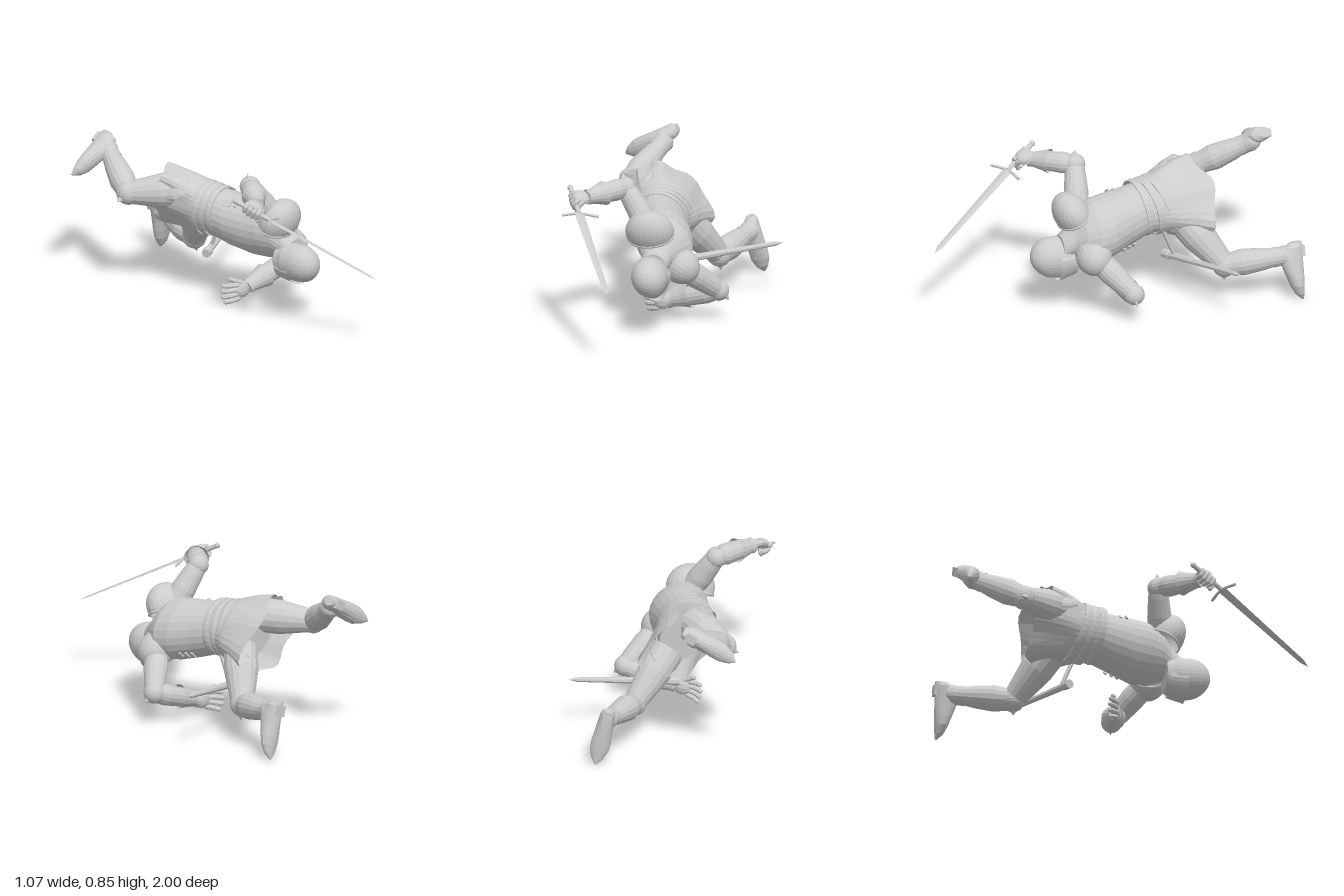
import * as THREE from 'three';

const V = (x, y, z) => new THREE.Vector3(x, y, z);
const solid = new THREE.MeshStandardMaterial({ color: 0xcccccc, flatShading: true });
const shell = new THREE.MeshStandardMaterial({ color: 0xcccccc, flatShading: true, side: THREE.DoubleSide });

export function createModel() {
  const root = new THREE.Group();
  root.name = 'fallenKnight';

  const add = (name, geo, mat = solid, parent = root) => {
    const m = new THREE.Mesh(geo, mat);
    m.name = name;
    parent.add(m);
    return m;
  };
  // Frame at a point: Y along dir, X as near the hint as possible
  const frame = (at, dir, hint = V(0.31, 0.2, 0.93)) => {
    const y = dir.clone().normalize();
    const x = hint.clone().addScaledVector(y, -hint.dot(y)).normalize();
    return new THREE.Matrix4().makeBasis(x, y, x.clone().cross(y)).setPosition(at);
  };
  const place = (name, geo, at, dir, hint, mat) => add(name, geo.applyMatrix4(frame(at, dir, hint)), mat);
  // Turned limb piece from a to b; profile rows are [fraction, radius]
  const limb = (name, a, b, profile, mat, sides = 16) => {
    const d = b.clone().sub(a), len = d.length();
    const pts = profile.map(([t, r]) => new THREE.Vector2(r, t * len));
    return place(name, new THREE.LatheGeometry(pts, sides), a, d, undefined, mat);
  };
  const ball = (name, at, r) => place(name, new THREE.SphereGeometry(r, 16, 12), at, V(0, 1, 0));
  // Skin over elliptical sections [centre, halfU, halfV]; shape(angle, row) bends each ring
  const loft = (name, rows, u, v, { n = 24, shape = () => [1, 0], mat = solid, caps = true } = {}) => {
    const pos = [], idx = [], axis = u.clone().cross(v);
    rows.forEach(([c, w, d], k) => {
      for (let j = 0; j < n; j++) {
        const q = (j / n) * Math.PI * 2, [s, lift] = shape(q, k);
        const p = c.clone().addScaledVector(u, w * s * Math.cos(q))
          .addScaledVector(v, d * s * Math.sin(q)).addScaledVector(axis, lift);
        pos.push(p.x, p.y, p.z);
        if (k) {
          const a = (k - 1) * n + j, b = (k - 1) * n + (j + 1) % n;
          idx.push(a, b, a + n, b, b + n, a + n);
        }
      }
    });
    if (caps) {
      const first = rows[0][0], last = rows[rows.length - 1][0], i = rows.length * n;
      pos.push(first.x, first.y, first.z, last.x, last.y, last.z);
      for (let j = 0; j < n; j++) {
        const e = (rows.length - 1) * n;
        idx.push(i, (j + 1) % n, j, i + 1, e + j, e + (j + 1) % n);
      }
    }
    const g = new THREE.BufferGeometry();
    g.setAttribute('position', new THREE.Float32BufferAttribute(pos, 3));
    g.setIndex(idx);
    g.computeVertexNormals();
    return add(name, g, mat);
  };

  // Rolled body axes: u to the knight's right, f out of the chest
  const u = V(-0.66, 0.75, 0).normalize(), f = V(0, 0, 1).cross(u);

  // Breastplate, neck and hips
  loft('torso', [
    [V(-0.09, 0.54, -0.45), 0.15, 0.11], [V(-0.09, 0.53, -0.32), 0.165, 0.13],
    [V(-0.09, 0.51, -0.2), 0.15, 0.13], [V(-0.07, 0.485, -0.08), 0.162, 0.145],
    [V(-0.04, 0.468, 0.04), 0.178, 0.155], [V(-0.025, 0.46, 0.13), 0.18, 0.145],
    [V(-0.03, 0.45, 0.2), 0.14, 0.115], [V(-0.04, 0.42, 0.25), 0.085, 0.085],
    [V(-0.05, 0.38, 0.31), 0.07, 0.07]], u, f);
  // Waist bands and belts, sloping to the left hip
  [[-0.18, 0.157, 0.136, -0.12], [-0.235, 0.163, 0.14, -0.2], [-0.29, 0.174, 0.143, -0.28]].forEach(([z, w, d, tilt]) => {
    const g = new THREE.TorusGeometry(1, 0.05, 6, 32).scale(w, d, 0.5).rotateY(tilt);
    g.applyMatrix4(new THREE.Matrix4().makeBasis(u, f, V(0, 0, 1)).setPosition(-0.09, 0.515, z));
    add('belt', g);
  });
  // Small buckled straps on both flanks
  for (const side of [1, -1])
    for (let i = 0; i < 3; i++)
      place('sideBuckle', new THREE.BoxGeometry(0.012, 0.01, 0.04),
        V(-0.065 + 0.008 * i, 0.483, -0.09 + 0.035 * i).addScaledVector(u, side * (0.163 + 0.005 * i)), u, V(0, 0, 1));

  // Folded cloth skirt: hem cut high over the right hip, loose corner hanging at the left
  loft('skirt', [
    [V(-0.095, 0.54, -0.57), 0.23, 0.135], [V(-0.095, 0.54, -0.46), 0.21, 0.137],
    [V(-0.09, 0.53, -0.34), 0.182, 0.14], [V(-0.09, 0.52, -0.26), 0.163, 0.138]], u, f, {
    n: 40, mat: shell, caps: false,
    shape: (q, k) => {
      const free = 1 - k / 3, left = Math.max(0, -Math.cos(q)), right = Math.max(0, Math.cos(q));
      const corner = 2 * left * Math.max(0, -Math.sin(q));
      return [1 + free * (0.07 * Math.sin(7 * q) + 0.22 * corner + 0.08 * left),
        free * (0.1 * right ** 2 + 0.08 * left ** 4 + 0.015 * Math.sin(5 * q))];
    }
  });
  // Overlapping hip plates
  [[V(-0.22, 0.64, -0.42), V(-0.75, 0.62, 0)], [V(0.03, 0.41, -0.42), V(0.75, -0.6, 0)]].forEach(([at, out]) =>
    place('hipPlate', new THREE.SphereGeometry(1, 12, 5, 0, Math.PI * 2, 0, 1.5).scale(0.09, 0.04, 0.12),
      at, out, V(1, 1, 0), shell));

  // Helmet: round skull narrowing to a ridged face pointing down
  const hf = V(0.35, -0.94, 0).normalize(), hu = hf.clone().cross(V(0, 0, 1));
  const ridge = (q, size, spread) => size * Math.exp(-(((q - Math.PI / 2) / spread) ** 2));
  const skull = [[V(-0.058, 0.33, 0.22), 0.08, 0.09], [V(-0.063, 0.327, 0.28), 0.095, 0.11]];
  for (let i = 0; i <= 7; i++) {
    const a = (i / 7) * 1.5;
    skull.push([V(-0.067, 0.33, 0.355 + 0.12 * Math.sin(a)), 0.097 * Math.cos(a), 0.108 * Math.cos(a)]);
  }
  loft('helmet', skull, hu, hf, {
    n: 32, shape: (q, k) => [1 + ridge(q, 0.18, 0.4) * (k ? Math.max(0, 1 - k / 7) : 0.3), 0]
  });
  // Visor plate
  loft('visor', [[V(-0.06, 0.325, 0.235), 0.095, 0.108], [V(-0.062, 0.322, 0.335), 0.102, 0.116]], hu, hf, {
    n: 32, mat: shell, caps: false,
    shape: (q, k) => [q < Math.PI ? 1 + ridge(q, 0.05 + 0.11 * k, 0.45) : 0.94, 0]
  });

  // Shoulder domes with rolled rims
  const pauldron = (name, at, dir, hint, w, h, d) => {
    place(name, new THREE.SphereGeometry(1, 24, 12, 0, Math.PI * 2, 0, 1.8).scale(w, h, d), at, dir, hint, shell);
    place(name + 'Rim', new THREE.TorusGeometry(0.97, 0.05, 6, 28).rotateX(Math.PI / 2).scale(w, 0.15, d)
      .translate(0, -0.23 * h, 0), at, dir, hint);
  };
  pauldron('rightPauldron', V(-0.085, 0.555, 0.225), V(-0.1, 0.85, 0.45), V(1, 0, 0), 0.135, 0.13, 0.098);
  pauldron('leftPauldron', V(0.075, 0.35, 0.16), V(0.8, -0.5, 0.15), V(0.5, 0.8, 0), 0.1, 0.11, 0.1);

  // Arms: upper arm, elbow cop with wing, forearm, flared cuff
  const arm = (side, s, e, w, wing) => {
    limb(side + 'UpperArm', s, e, [[0, 0], [0, 0.064], [0.4, 0.068], [0.8, 0.058], [1, 0.05], [1, 0]]);
    ball(side + 'Elbow', e, 0.058);
    place(side + 'ElbowWing', new THREE.ConeGeometry(0.055, 0.08, 8).scale(1, 1, 0.6),
      e.clone().addScaledVector(wing, 0.04), wing, w.clone().sub(e));
    limb(side + 'Forearm', e, w, [[0, 0], [0, 0.048], [0.25, 0.06], [0.7, 0.052], [1, 0.036], [1, 0]]);
    limb(side + 'Cuff', e.clone().lerp(w, 0.55), w, [[0, 0.068], [0.3, 0.056], [0.8, 0.042], [1, 0.045]], shell);
  };
  const rWrist = V(-0.415, 0.766, 0.335), lWrist = V(-0.03, 0.085, -0.05);
  arm('right', V(-0.09, 0.56, 0.19), V(-0.235, 0.775, 0.14), rWrist, V(-0.2, 0.97, -0.1).normalize());
  arm('left', V(0.08, 0.34, 0.15), V(0.26, 0.17, 0), lWrist, V(0.65, -0.5, 0.1).normalize());

  // Armoured hand: palm toward local z, fingers along local y
  const hand = (name, wrist, dir, across, thumb, curl, spread) => {
    const g = new THREE.Group();
    g.name = name;
    add(name + 'Palm', new THREE.SphereGeometry(1, 12, 8).scale(0.05, 0.05, 0.027), solid, g).position.y = 0.035;
    const digit = (label, x, y, tilt, bend, len) => {
      let joint = new THREE.Group();
      joint.name = name + label;
      joint.position.set(x, y, 0);
      joint.rotation.z = tilt;
      g.add(joint);
      for (let k = 0; k < 3; k++) {
        const next = new THREE.Group();
        next.name = name + label + 'Joint';
        next.position.y = k ? len : 0;
        next.rotation.x = bend;
        joint.add(next);
        const r = 0.0155 - 0.0015 * k;
        add(name + label + 'Segment', new THREE.CapsuleGeometry(r, len * 0.75, 3, 8), solid, next).position.y = len / 2;
        joint = next;
      }
    };
    for (let i = 0; i < 4; i++) {
      const x = (i - 1.5) * 0.026;
      digit('Finger', x, 0.065, -x * spread, curl, 0.032 - 0.003 * Math.abs(i - 1.5));
    }
    digit('Thumb', thumb * 0.036, 0.03, -thumb * 0.6, curl * 0.6, 0.027);
    frame(wrist, dir, across).decompose(g.position, g.quaternion, g.scale);
    root.add(g);
  };

  // Sword held in the right hand
  const pommel = V(-0.52, 0.8, 0.27), hilt = V(-0.44, 0.707, 0.45), tip = V(-0.19, 0.415, 1);
  const along = tip.clone().sub(hilt).normalize(), cross = V(0.19, -0.025, -0.09);
  limb('swordGrip', pommel, hilt, [[0, 0], [0, 0.013], [0.5, 0.016], [1, 0.012], [1, 0]], solid, 10);
  ball('pommel', pommel, 0.016);
  const len = hilt.distanceTo(tip);
  place('swordBlade', new THREE.CylinderGeometry(0.017, 0.028, len * 0.93, 4).translate(0, len * 0.465, 0)
    .rotateY(Math.PI / 2).scale(1, 1, 0.25), hilt, along, cross);
  place('swordPoint', new THREE.ConeGeometry(0.017, len * 0.07, 4).translate(0, len * 0.965, 0)
    .rotateY(Math.PI / 2).scale(1, 1, 0.25), hilt, along, cross);
  const c = cross.clone().multiplyScalar(0.5);
  const guard = new THREE.CatmullRomCurve3([hilt.clone().sub(c).addScaledVector(along, 0.02), hilt,
    hilt.clone().add(c).addScaledVector(along, 0.02)]);
  add('crossGuard', new THREE.TubeGeometry(guard, 12, 0.008, 8));
  hand('rightHand', rWrist, V(-0.83, 0.13, 0.4), along, 1, 1, 0);
  hand('leftHand', lWrist, V(-0.97, -0.16, -0.15), V(0, -1, 0), -1, 0.25, 4);

  // Scabbard slung from the left hip
  const mouth = V(-0.06, 0.225, -0.315), end = V(0.53, 0.305, -0.52);
  limb('scabbard', mouth, end, [[0, 0], [0, 0.026], [0.07, 0.026], [0.09, 0.021], [0.93, 0.013], [1, 0]], solid, 8);
  limb('scabbardStrap', V(0.02, 0.4, -0.28), V(0.02, 0.24, -0.345), [[0, 0], [0, 0.012], [1, 0.012], [1, 0]], solid, 6);

  // Legs: thigh, knee cop with wing, greave, ankle and pointed boot
  const leg = (side, hip, knee, ankle, wing, heel, toe) => {
    limb(side + 'Thigh', hip, knee, [[0, 0], [0, 0.095], [0.4, 0.095], [0.85, 0.07], [1, 0.062], [1, 0]]);
    ball(side + 'Knee', knee, 0.068);
    place(side + 'KneeWing', new THREE.ConeGeometry(0.062, 0.08, 8).scale(1, 1, 0.75),
      knee.clone().addScaledVector(wing, 0.05), wing, ankle.clone().sub(knee));
    limb(side + 'Greave', knee, ankle, [[0, 0], [0, 0.058], [0.3, 0.073], [0.6, 0.063], [0.9, 0.045], [1, 0.05], [1, 0]]);
    limb(side + 'AnkleBand', knee.clone().lerp(ankle, 0.78), ankle, [[0, 0.056], [0.5, 0.053], [1, 0.058]], shell);
    ball(side + 'Ankle', ankle, 0.052);
    const d = toe.clone().sub(heel).normalize(), up = V(0, 0, 1);
    const rows = [[0, 0.024, 0.035], [0.07, 0.04, 0.055], [0.25, 0.046, 0.068], [0.42, 0.049, 0.06],
      [0.6, 0.054, 0.048], [0.75, 0.052, 0.038], [0.9, 0.033, 0.024], [1, 0.006, 0.006]];
    loft(side + 'Boot', rows.map(([t, w, h]) => {
      const p = heel.clone().lerp(toe, t);
      p.z = -0.992 + h + 0.016 * t * t;
      return [p, w, h];
    }), up.clone().cross(d), up, { n: 16 });
    const heelAt = heel.clone().lerp(toe, 0.16);
    heelAt.z = -0.985;
    place(side + 'Heel', new THREE.BoxGeometry(0.05, 0.06, 0.03), heelAt, d, up.clone().cross(d));
  };
  leg('right', V(-0.16, 0.61, -0.4), V(-0.335, 0.585, -0.64), V(-0.195, 0.735, -0.9),
    V(-0.75, -0.3, -0.1).normalize(), V(-0.13, 0.8, 0), V(-0.42, 0.635, 0));
  leg('left', V(-0.01, 0.45, -0.4), V(0.165, 0.2, -0.58), V(0.28, 0.245, -0.9),
    V(0.1, -0.9, 0.05).normalize(), V(0.275, 0.315, 0), V(0.35, 0, 0));

  return root;
}
